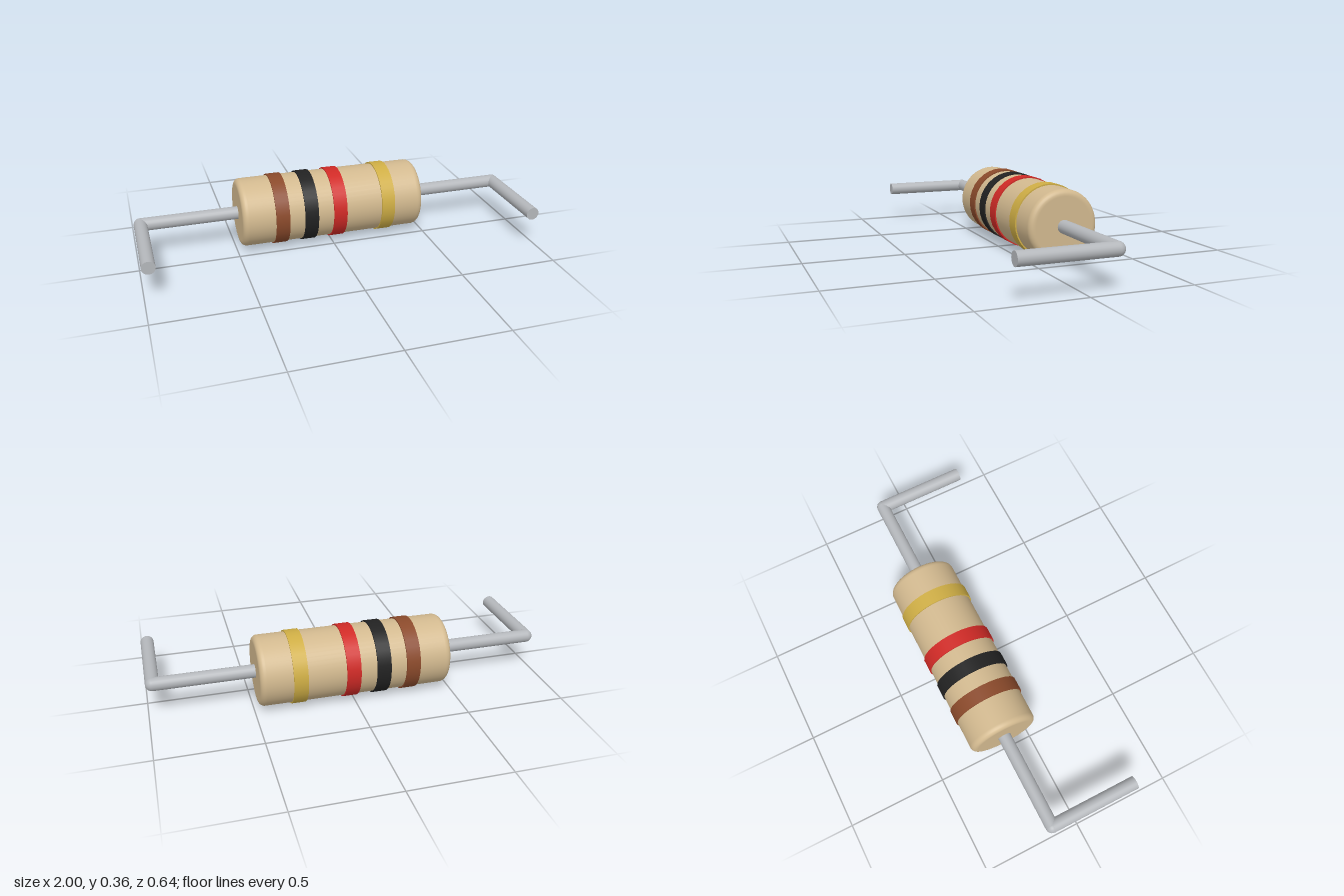
import * as THREE from 'three';

const BODY_RADIUS = 0.175, BODY_HALF = 0.478, BEVEL = 0.027;
const BAND_RADIUS = 0.182, BAND_WIDTH = 0.07;
const WIRE_RADIUS = 0.033, ELBOW_X = 0.967;
const AXIS_Y = 0.182, AXIS_Z = -0.139, WIRE_END_Z = 0.32;

const material = (color) => new THREE.MeshStandardMaterial({ color });

function addMesh(parent, name, geometry, mat) {
  const mesh = new THREE.Mesh(geometry, mat);
  mesh.name = name;
  parent.add(mesh);
  return mesh;
}

// Half profile of the body: flat end, rounded rim, straight side, mirrored
function bodyProfile() {
  const half = [];
  const r = BODY_RADIUS - BEVEL, h = BODY_HALF - BEVEL;
  for (let i = 0; i <= 6; i++) {
    const a = (i / 6) * Math.PI / 2;
    half.push([r + BEVEL * Math.sin(a), h + BEVEL * Math.cos(a)]);
  }
  half.unshift([0, BODY_HALF], [r - 0.004, BODY_HALF]);
  half.push([BODY_RADIUS, h - 0.004]);
  const lower = half.map(([x, y]) => new THREE.Vector2(x, -y));
  const upper = half.map(([x, y]) => new THREE.Vector2(x, y)).reverse();
  return [...lower, ...upper];
}

export function createModel() {
  const model = new THREE.Group();
  model.name = 'resistor';

  // Everything is laid out around the body axis, which runs along x
  const axis = new THREE.Group();
  axis.name = 'resistorParts';
  axis.position.set(0, AXIS_Y, AXIS_Z);
  model.add(axis);

  // Body
  const body = new THREE.LatheGeometry(bodyProfile(), 48).rotateZ(-Math.PI / 2);
  addMesh(axis, 'body', body, material(0xd2b98f));

  // Colour bands
  const bands = [
    ['brownBand', -0.277, 0x8b4a2b],
    ['blackBand', -0.127, 0x222222],
    ['redBand', 0.025, 0xd02a26],
    ['goldBand', 0.285, 0xcfae45],
  ];
  for (const [name, x, color] of bands) {
    const ring = new THREE.CylinderGeometry(BAND_RADIUS, BAND_RADIUS, BAND_WIDTH, 32)
      .rotateZ(-Math.PI / 2);
    addMesh(axis, name, ring, material(color)).position.x = x;
  }

  // Wire leads: one stretch out of the body, a round elbow, one stretch forward
  const wire = material(0xb4b7bb);
  const outLength = ELBOW_X - BODY_HALF + 0.02;
  const legLength = WIRE_END_Z - AXIS_Z;
  for (const [side, s] of [['left', 1], ['right', -1]]) {
    const lead = new THREE.Group();
    lead.name = side + 'Lead';
    axis.add(lead);

    const out = new THREE.CylinderGeometry(WIRE_RADIUS, WIRE_RADIUS, outLength, 24)
      .rotateZ(-Math.PI / 2);
    addMesh(lead, side + 'AxialWire', out, wire).position.x = s * (ELBOW_X - outLength / 2);

    const elbow = new THREE.SphereGeometry(WIRE_RADIUS, 24, 16);
    addMesh(lead, side + 'Elbow', elbow, wire).position.x = s * ELBOW_X;

    const leg = new THREE.CylinderGeometry(WIRE_RADIUS, WIRE_RADIUS, legLength, 24)
      .rotateX(Math.PI / 2);
    addMesh(lead, side + 'BentWire', leg, wire).position.set(s * ELBOW_X, 0, legLength / 2);
  }

  return model;
}
